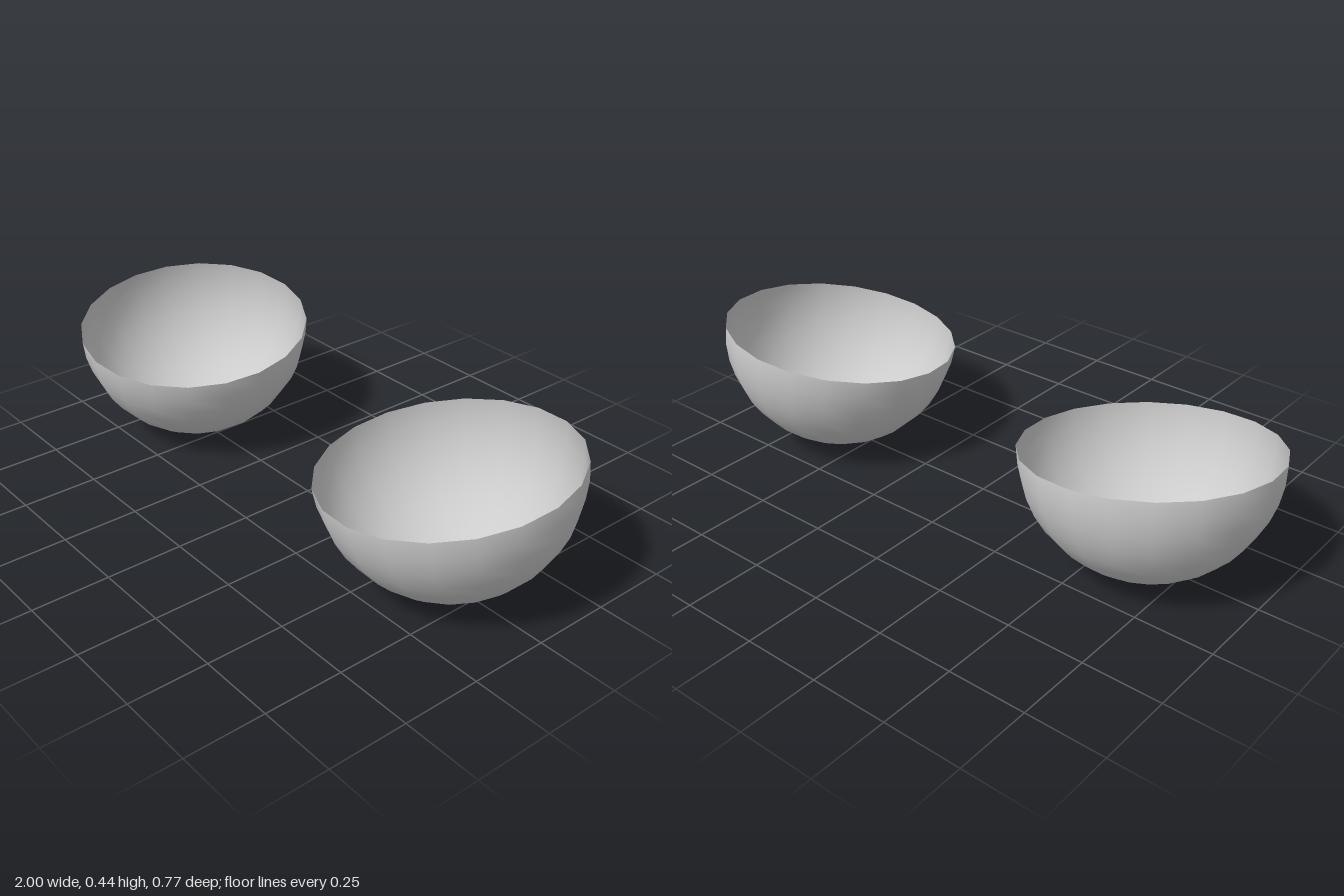
import * as THREE from 'three';

const RADIUS = 0.385;
const TILT = 0.11;

export function createModel() {
  const group = new THREE.Group();
  const material = new THREE.MeshStandardMaterial({ color: 0xcccccc, side: THREE.DoubleSide });

  // Open lower half of a sphere, shared by both bowls
  const hemisphere = new THREE.SphereGeometry(RADIUS, 20, 10, 0, Math.PI * 2, Math.PI / 2, Math.PI / 2);

  // Mirrored pair, each rim raised towards the outside and the back
  for (const side of [1, -1]) {
    const bowl = new THREE.Mesh(hemisphere, material);
    bowl.name = side > 0 ? 'leftBowl' : 'rightBowl';
    bowl.position.set(side * (1 - RADIUS), RADIUS, 0);
    bowl.rotation.set(TILT, side * 0.04, side * TILT, 'XZY');
    group.add(bowl);
  }
  return group;
}
